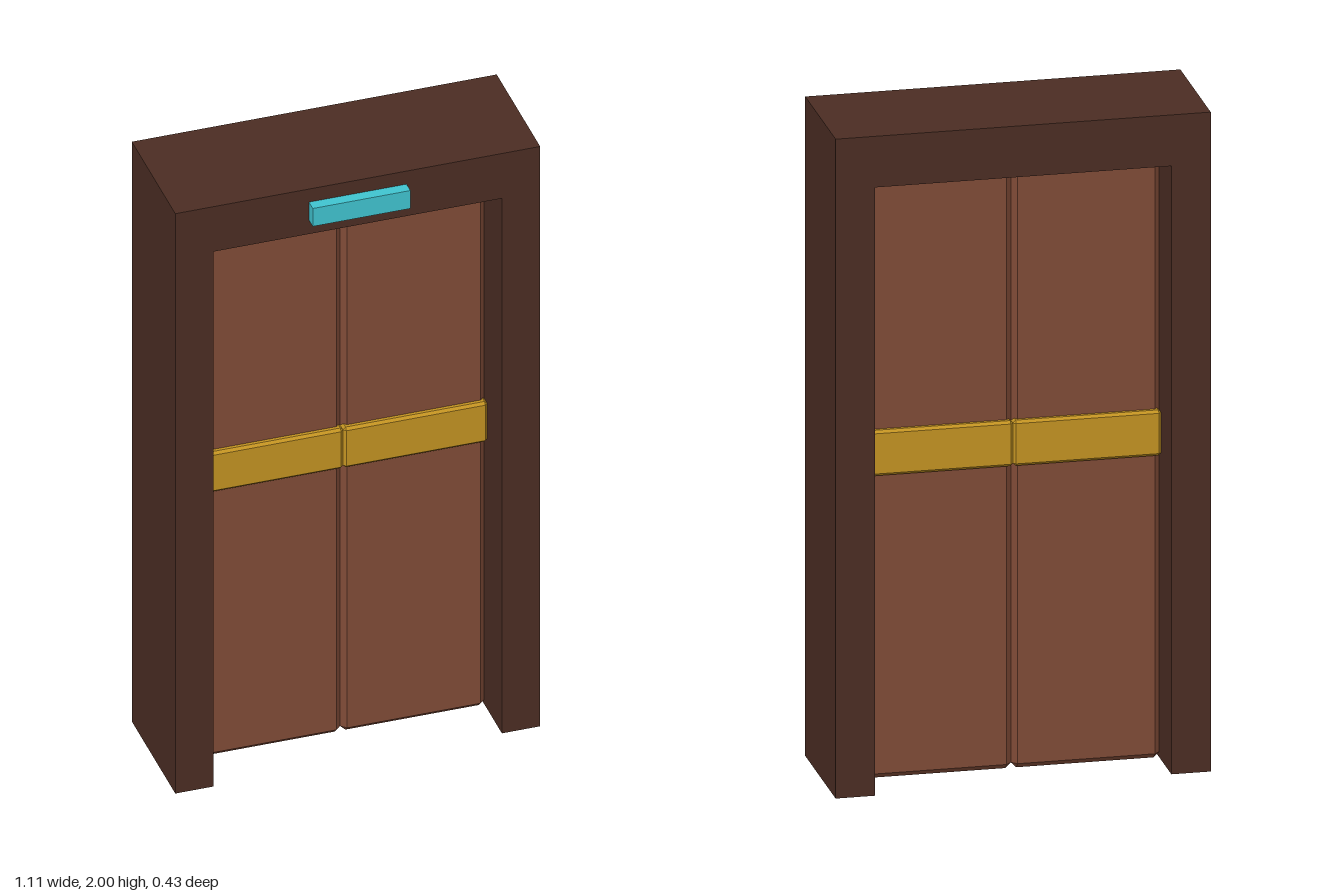
import * as THREE from 'three';
import { ConvexGeometry } from 'three/addons/geometries/ConvexGeometry.js';

// Box with every edge and corner cut flat by c
function chamferBox(w, h, d, c) {
  const [x, y, z] = [w / 2, h / 2, d / 2];
  const points = [];
  for (const sx of [-1, 1]) for (const sy of [-1, 1]) for (const sz of [-1, 1]) {
    points.push(
      new THREE.Vector3(sx * x, sy * (y - c), sz * (z - c)),
      new THREE.Vector3(sx * (x - c), sy * y, sz * (z - c)),
      new THREE.Vector3(sx * (x - c), sy * (y - c), sz * z));
  }
  return new ConvexGeometry(points);
}

export function createModel() {
  const group = new THREE.Group();
  const material = (name, color) => new THREE.MeshStandardMaterial({ name, color });
  const darkWood = material('dark wood', 0x4b2d23);
  const doorWood = material('door wood', 0x804b37);
  const gold = material('gold', 0xc39322);
  const cyan = material('cyan', 0x40c4d0);

  const add = (name, geometry, mat, x, y, z) => {
    const mesh = new THREE.Mesh(geometry, mat);
    mesh.name = name;
    mesh.position.set(x, y, z);
    group.add(mesh);
  };

  const outer = 0.553, inner = 0.437, lintel = 1.845;
  const back = -0.215, front = 0.18, mid = (back + front) / 2;

  // Door frame: two posts and a lintel in one piece
  const outline = new THREE.Shape([
    [-outer, 0], [-inner, 0], [-inner, lintel], [inner, lintel],
    [inner, 0], [outer, 0], [outer, 2], [-outer, 2],
  ].map(([x, y]) => new THREE.Vector2(x, y)));
  add('frame', new THREE.ExtrudeGeometry(outline, { depth: front - back, bevelEnabled: false }),
    darkWood, 0, 0, back);

  // Sliding panels, each with a gold band wrapped round it
  const panel = chamferBox(inner, 1.82, 0.105, 0.016);
  const band = chamferBox(inner, 0.138, 0.142, 0.008);
  for (const [side, s] of [['left', 1], ['right', -1]]) {
    add(side + 'Door', panel, doorWood, s * inner / 2, 0.91, mid);
    add(side + 'Band', band, gold, s * inner / 2, 0.993, mid);
  }

  // Indicator over the doorway
  add('indicator', new THREE.BoxGeometry(0.296, 0.062, 0.045), cyan, 0, 1.924, 0.1925);

  return group;
}
